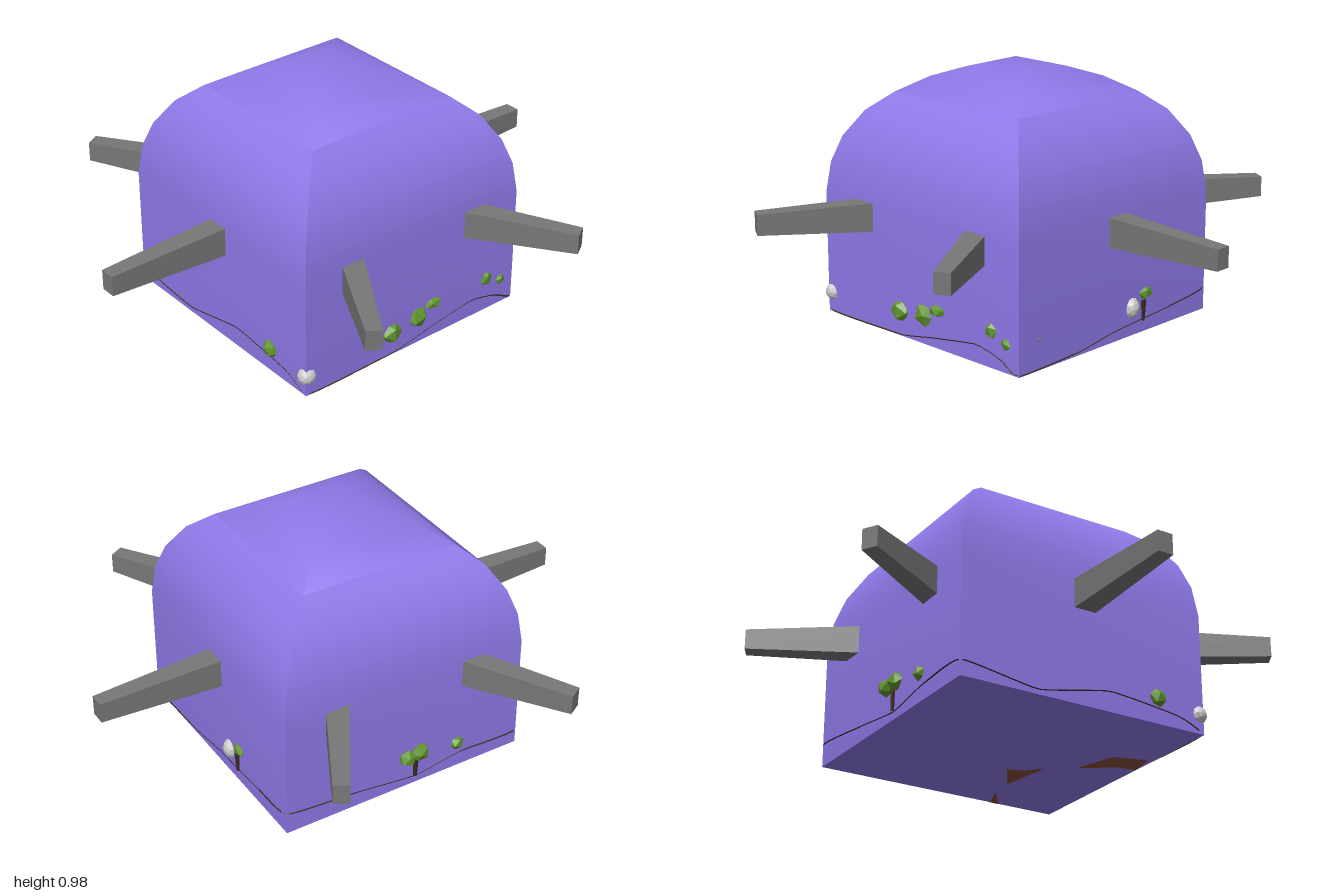
import * as THREE from 'three';
import { toCreasedNormals } from 'three/addons/utils/BufferGeometryUtils.js';

const HALF = 0.515;
const mat = (color, extra = {}) => new THREE.MeshStandardMaterial({ color, ...extra });
const purple = mat(0x8f78e8);
const spokeGrey = mat(0x777777, { flatShading: true });
const stone = mat(0xcccccc, { flatShading: true });
const leaf = mat(0x62962f, { flatShading: true });
const bark = mat(0x3a2a20, { flatShading: true });
const soil = mat(0x8a4b35);

export function createModel() {
  const model = new THREE.Group();
  const add = (name, geometry, material, x = 0, y = 0, z = 0) => {
    const mesh = new THREE.Mesh(geometry, material);
    mesh.name = name;
    mesh.position.set(x, y, z);
    model.add(mesh);
    return mesh;
  };

  // Square dome: four-sided lathe, with mitred corners that soften towards the top
  const profile = [
    [0, 0], [HALF, 0], [HALF, 0.48], [0.5, 0.6], [0.467, 0.7], [0.405, 0.8],
    [0.325, 0.87], [0.23, 0.93], [0.13, 0.968], [0, 0.98],
  ].map(([r, y]) => new THREE.Vector2(r * Math.SQRT2, y));
  const dome = new THREE.LatheGeometry(profile, 4, Math.PI / 4);
  add('dome', toCreasedNormals(dome, 0.87), purple);

  // Six tapered spokes radiating from the walls
  const inner = 0.4, outer = 1;
  for (let i = 0; i < 6; i++) {
    const g = new THREE.BoxGeometry(outer - inner, 1, 1);
    const p = g.attributes.position;
    for (let k = 0; k < p.count; k++) {
      const tip = p.getX(k) > 0;
      p.setY(k, p.getY(k) * (tip ? 0.08 : 0.123));
      p.setZ(k, p.getZ(k) * (tip ? 0.062 : 0.097));
    }
    g.translate((inner + outer) / 2, 0, 0);
    add('spoke', g, spokeGrey, 0, 0.43, 0).rotation.y = (i * Math.PI) / 3;
  }

  // Faceted bushes and rocks poking through the walls: x, y, z, half sizes
  const lump = (name, material, detail) => ([x, y, z, sx, sy, sz], i) => {
    const g = new THREE.IcosahedronGeometry(1, detail);
    g.rotateZ(i * 1.3).rotateY(i * 0.9).scale(sx, sy, sz);
    add(name, g, material, x, y, z);
  };
  [
    [-0.105, 0.097, 0.5, 0.05, 0.05, 0.045],
    [0.025, 0.112, 0.5, 0.05, 0.05, 0.045],
    [0.098, 0.146, 0.505, 0.046, 0.026, 0.035],
    [0.375, 0.14, 0.5, 0.035, 0.04, 0.032],
    [0.45, 0.108, 0.5, 0.03, 0.03, 0.03],
    [0.505, 0.15, -0.165, 0.03, 0.03, 0.042],
    [-0.065, 0.14, -0.515, 0.042, 0.04, 0.035],
    [-0.005, 0.135, -0.52, 0.036, 0.034, 0.038],
    [-0.235, 0.11, -0.51, 0.032, 0.03, 0.03],
    [-0.515, 0.1, 0.31, 0.03, 0.036, 0.038],
    [0.51, 0.115, 0.41, 0.01, 0.01, 0.01],
  ].forEach(lump('bush', leaf, 0));
  [
    [0.505, 0.108, -0.09, 0.036, 0.043, 0.036],
    [-0.5, 0.078, 0.5, 0.036, 0.036, 0.034],
  ].forEach(lump('rock', stone, 1));

  // Trunks under the small trees
  [[0.515, 0.085, -0.152], [-0.045, 0.075, -0.518]].forEach(([x, y, z]) =>
    add('trunk', new THREE.CylinderGeometry(0.012, 0.007, 0.08, 6), bark, x, y, z));

  // Thin edge of the undulating ground showing along the walls
  const heights = [
    // front, left, back and right walls, each running to its next corner
    [[-0.5, 0.003], [-0.1, 0.005], [0.07, 0.035], [0.3, 0.07], [0.42, 0.045]],
    [[-HALF, 0.004], [-0.2, 0.012], [0, 0.04], [0.3, 0.06]],
    [[-HALF, 0.09], [-0.2, 0.06], [0.05, 0.03], [0.25, 0.06]],
    [[-HALF, 0.06], [-0.2, 0.02], [0.1, 0.08], [0.4, 0.05]],
  ];
  const rim = heights.flatMap((wall, i) => wall.map(([s, y]) =>
    new THREE.Vector3(s, y, HALF - 0.001).applyAxisAngle(
      new THREE.Vector3(0, 1, 0), (i * Math.PI) / 2)));
  const rimCurve = new THREE.CatmullRomCurve3(rim, true, 'catmullrom', 0.2);
  add('groundEdge', new THREE.TubeGeometry(rimCurve, 120, 0.003, 4, true), bark);

  // Patches of soil showing through the underside
  [
    [[HALF, 0.27], [HALF, 0.23], [0.4, 0.19]],
    [[0.3, 0.18], [0.16, 0.09], [0.14, 0.15], [0.08, 0.21]],
    [[0.01, 0.31], [-0.16, 0.36], [-0.2, 0.49], [-0.09, HALF], [-0.08, 0.44]],
  ].forEach((corners) => {
    const shape = new THREE.Shape(corners.map(([x, z]) => new THREE.Vector2(x, z)));
    // Shape y becomes z, facing down
    const g = new THREE.ShapeGeometry(shape).rotateX(Math.PI / 2);
    add('soilPatch', g, soil, 0, -0.001, 0);
  });

  return model;
}
